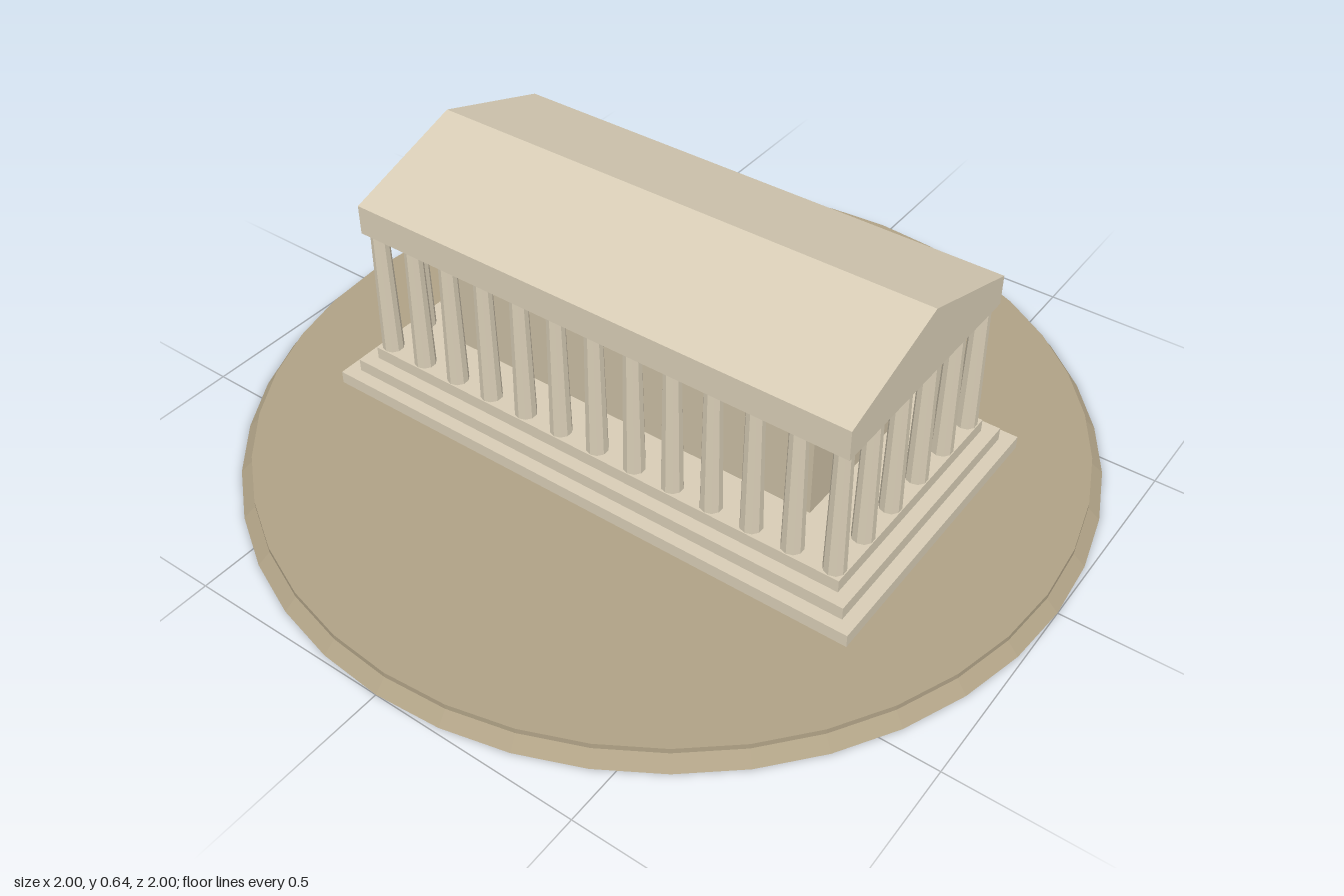
import * as THREE from 'three';

const paint = (color) => new THREE.MeshStandardMaterial({ color, flatShading: true });

export function createModel() {
  const temple = new THREE.Group();
  temple.name = 'temple';
  const marble = paint(0xd8cdb6);
  const wallStone = paint(0xcabda3);
  const earth = paint(0xb0a286);

  const add = (name, geometry, material, parent = temple) => {
    const mesh = new THREE.Mesh(geometry, material);
    mesh.name = name;
    parent.add(mesh);
    return mesh;
  };
  // Box given by half extents and its bottom and top heights
  const slab = (name, hx, hz, y0, y1, material) => {
    const mesh = add(name, new THREE.BoxGeometry(2 * hx, y1 - y0, 2 * hz), material);
    mesh.position.y = (y0 + y1) / 2;
  };

  // Round ground disc with a bevelled rim
  const rim = [[0, 0], [1, 0], [0.972, 0.027], [0.972, 0.04], [0, 0.04]];
  add('groundDisc', new THREE.LatheGeometry(rim.map(([r, y]) => new THREE.Vector2(r, y)), 40), earth);

  // Three stacked steps
  for (let i = 0; i < 3; i++) {
    const inset = i * 0.032;
    slab('step' + (i + 1), 0.708 - inset, 0.372 - inset, 0.04 + i * 0.032, 0.072 + i * 0.032, marble);
  }

  // Inner chamber
  slab('innerChamber', 0.49, 0.175, 0.136, 0.452, wallStone);

  // Colonnade: 13 columns along each side, 6 across each end
  const colonnade = new THREE.Group();
  colonnade.name = 'colonnade';
  temple.add(colonnade);
  const shaft = new THREE.CylinderGeometry(0.021, 0.026, 0.331, 10);
  const column = (x, z) => add('column', shaft, marble, colonnade).position.set(x, 0.3005, z);
  const nx = 13, nz = 6, ex = 0.617, ez = 0.28;
  for (const side of [-1, 1]) {
    for (let i = 0; i < nx; i++) column(-ex + (2 * ex * i) / (nx - 1), side * ez);
    for (let j = 1; j < nz - 1; j++) column(side * ex, -ez + (2 * ez * j) / (nz - 1));
  }

  // Beam carried by the columns
  slab('entablature', 0.645, 0.308, 0.466, 0.54, marble);

  // Gabled roof, ridge along x
  const gable = new THREE.Shape([
    new THREE.Vector2(-0.308, 0.54),
    new THREE.Vector2(0.308, 0.54),
    new THREE.Vector2(0, 0.642),
  ]);
  const roof = new THREE.ExtrudeGeometry(gable, { depth: 1.29, bevelEnabled: false });
  roof.translate(0, 0, -0.645).rotateY(Math.PI / 2);
  add('gabledRoof', roof, marble);

  return temple;
}
